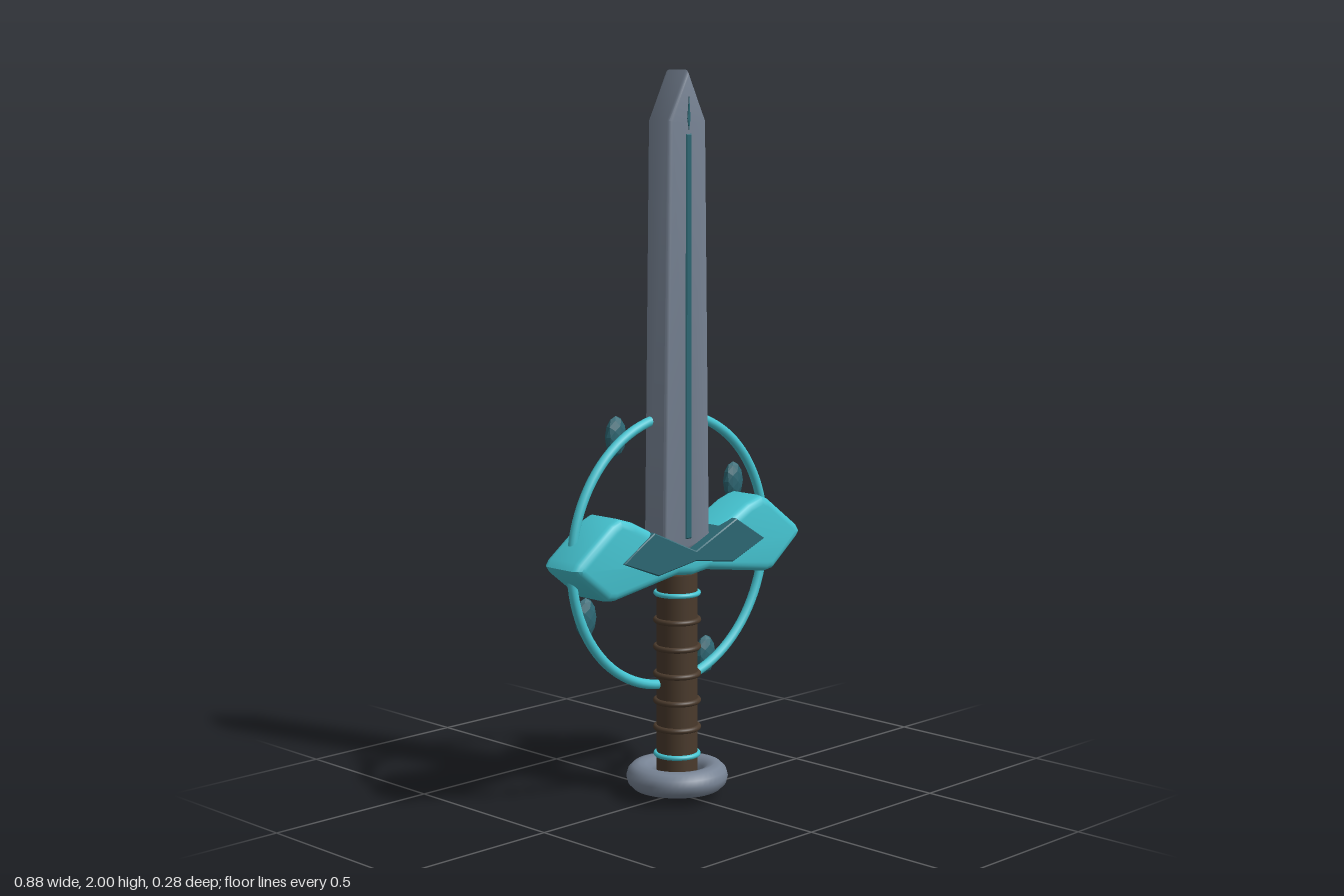
import * as THREE from 'three';
import { toCreasedNormals } from 'three/addons/utils/BufferGeometryUtils.js';

const steel = new THREE.MeshStandardMaterial({ color: 0x778394 });
const cyan = new THREE.MeshStandardMaterial({ color: 0x45c4d1 });
const teal = new THREE.MeshStandardMaterial({ color: 0x2c6672 });
const gemTeal = new THREE.MeshStandardMaterial({ color: 0x2c6672, flatShading: true });
const leather = new THREE.MeshStandardMaterial({ color: 0x4a3a2c });

export function createModel() {
  const model = new THREE.Group();
  const add = (name, geometry, material, x = 0, y = 0, z = 0) => {
    const mesh = new THREE.Mesh(geometry, material);
    mesh.name = name;
    mesh.position.set(x, y, z);
    model.add(mesh);
    return mesh;
  };

  // Symmetric plate: the +x half outline (top centre to bottom centre) is mirrored
  const plate = (half, halfDepth, bevel, segments) => {
    const mirrored = half.filter(([x]) => x > 0).reverse().map(([x, y]) => [-x, y]);
    const shape = new THREE.Shape([...half, ...mirrored].map(([x, y]) => new THREE.Vector2(x, y)));
    const geometry = new THREE.ExtrudeGeometry(shape, {
      depth: 2 * (halfDepth - bevel), bevelThickness: bevel, bevelSize: bevel,
      bevelOffset: -bevel, bevelSegments: segments, curveSegments: 6,
    });
    geometry.translate(0, 0, bevel - halfDepth);
    return toCreasedNormals(geometry, 0.6);
  };
  const ring = (name, radius, tube, material, y) => {
    const mesh = add(name, new THREE.TorusGeometry(radius, tube, 12, 48), material, 0, y, 0);
    mesh.rotation.x = Math.PI / 2;
    return mesh;
  };

  // Blade with its centre inlay on both faces
  add('blade', plate([[0, 2], [0.07, 1.865], [0.088, 0.715], [0, 0.695]], 0.044, 0.012, 3), steel);
  add('bladeInlay', plate([[0, 1.83], [0.011, 1.83], [0.012, 0.73], [0, 0.73]], 0.047, 0.003, 1), teal);
  add('bladeInlayTip', plate([[0, 1.93], [0.006, 1.87], [0, 1.84]], 0.046, 0.001, 1), teal);

  // Winged crossguard with a dark inlay running through it
  add('guard', plate([
    [0, 0.695], [0.085, 0.735], [0.22, 0.803], [0.275, 0.82], [0.305, 0.808],
    [0.425, 0.72], [0.438, 0.7], [0.425, 0.682], [0.325, 0.604], [0.295, 0.6],
    [0.06, 0.637], [0, 0.63],
  ], 0.07, 0.024, 4), cyan);
  add('guardInlay', plate([
    [0, 0.7], [0.16, 0.77], [0.275, 0.7], [0.145, 0.65], [0, 0.672],
  ], 0.076, 0.003, 1), teal);

  // Wrapped grip: dark cords between two bright bands
  add('grip', new THREE.CylinderGeometry(0.057, 0.057, 0.56, 32), leather, 0, 0.35, 0);
  for (let i = 0; i < 7; i++) {
    const band = i === 0 || i === 6;
    ring(band ? 'gripBand' : 'gripCord', 0.059, band ? 0.007 : 0.008,
      band ? cyan : leather, 0.118 + i * 0.076);
  }

  // Pommel ring and the gem set in it
  ring('pommel', 0.105, 0.037, steel, 0.055);
  add('pommelGem', new THREE.IcosahedronGeometry(0.042, 1), gemTeal, 0, 0.042, 0);

  // Large halo ring with four gems behind it
  add('halo', new THREE.TorusGeometry(0.375, 0.0135, 12, 96), cyan, 0, 0.69, -0.022);
  for (const [x, y] of [[-0.175, 1.02], [0.287, 0.847], [-0.29, 0.537], [0.175, 0.36]]) {
    add('haloGem', new THREE.IcosahedronGeometry(1, 1), gemTeal, x, y, -0.06).scale.set(0.035, 0.056, 0.021);
  }
  return model;
}
